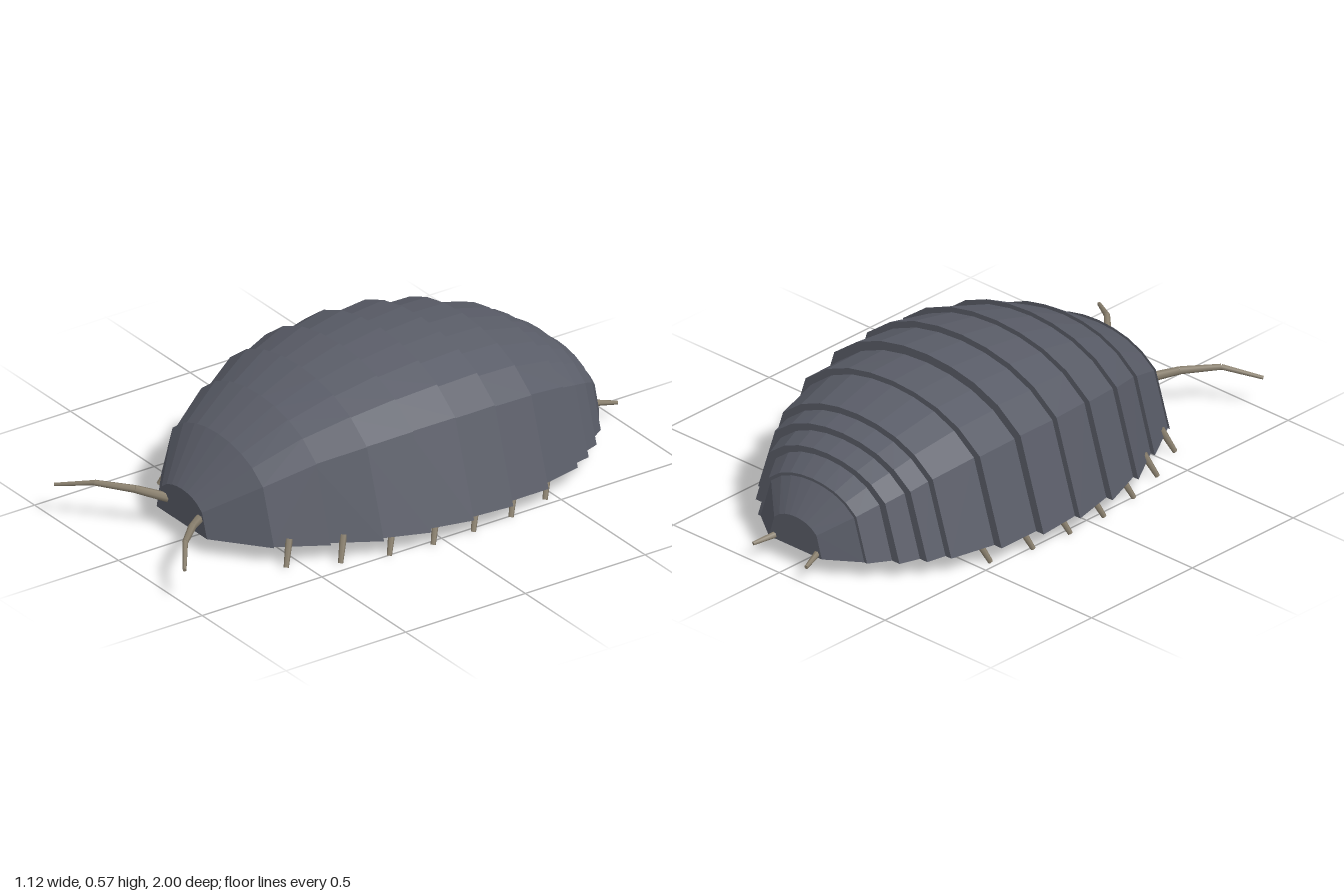
import * as THREE from 'three';
import { ConvexGeometry } from 'three/addons/geometries/ConvexGeometry.js';

const BASE = 0.07;
// Half cross-section of a shell plate: fraction of half width, fraction of height
const ARCH = [[1, 0], [0.8, 0.69], [0.605, 0.85], [0.405, 0.94], [0.205, 0.985], [0, 1]];

// Plates, head to tail: z front, z rear, half width front/rear, top y front/rear
const PLATES = [
  [0.735, 0.585, 0.15, 0.337, 0.20, 0.37],
  [0.585, 0.413, 0.327, 0.43, 0.36, 0.47],
  [0.413, 0.247, 0.41, 0.51, 0.457, 0.533],
  [0.247, 0.077, 0.485, 0.55, 0.517, 0.566],
  [0.077, -0.094, 0.52, 0.56, 0.548, 0.576],
  [-0.094, -0.265, 0.535, 0.55, 0.553, 0.566],
  [-0.265, -0.437, 0.515, 0.515, 0.534, 0.53],
  [-0.437, -0.61, 0.48, 0.442, 0.51, 0.468],
  [-0.61, -0.685, 0.415, 0.4, 0.445, 0.423],
  [-0.685, -0.76, 0.365, 0.34, 0.4, 0.373],
  [-0.76, -0.835, 0.305, 0.258, 0.352, 0.305],
  [-0.835, -0.92, 0.245, 0.125, 0.295, 0.19],
];

function archPoints(z, halfWidth, top) {
  const points = [];
  for (const [u, v] of ARCH) {
    for (const side of u > 0 ? [-1, 1] : [1]) {
      points.push(new THREE.Vector3(side * u * halfWidth, BASE + v * (top - BASE), z));
    }
  }
  return points;
}

// Tapered jointed limb through a list of points
function limb(name, path, radiusStart, radiusEnd, material) {
  const group = new THREE.Group();
  group.name = name;
  const n = path.length - 1;
  for (let i = 0; i < n; i++) {
    const a = new THREE.Vector3(...path[i]);
    const b = new THREE.Vector3(...path[i + 1]);
    const r0 = THREE.MathUtils.lerp(radiusStart, radiusEnd, i / n);
    const r1 = THREE.MathUtils.lerp(radiusStart, radiusEnd, (i + 1) / n);
    const mesh = new THREE.Mesh(
      new THREE.CylinderGeometry(r1, r0, a.distanceTo(b), 6), material);
    mesh.name = name + 'Joint';
    mesh.position.copy(a).add(b).multiplyScalar(0.5);
    mesh.quaternion.setFromUnitVectors(new THREE.Vector3(0, 1, 0), b.sub(a).normalize());
    group.add(mesh);
  }
  return group;
}

export function createModel() {
  const shell = new THREE.MeshStandardMaterial({ color: 0x5a5d68 });
  shell.name = 'slate shell';
  const tan = new THREE.MeshStandardMaterial({ color: 0x8c8270 });
  tan.name = 'tan limbs and belly';

  const model = new THREE.Group();
  model.name = 'woodlouse';

  // Overlapping shell plates
  PLATES.forEach(([z0, z1, w0, w1, h0, h1], i) => {
    const plate = new THREE.Mesh(
      new ConvexGeometry([...archPoints(z0, w0, h0), ...archPoints(z1, w1, h1)]), shell);
    plate.name = i === 0 ? 'headPlate' : 'shellPlate' + i;
    model.add(plate);
  });

  // Shallow belly plate with a bevelled rim
  const outline = [[0.65, 0.2], [0.5, 0.29], [0.33, 0.36], [0.16, 0.41], [-0.02, 0.435],
    [-0.18, 0.43], [-0.35, 0.4], [-0.52, 0.345], [-0.69, 0.25], [-0.83, 0.13]];
  const bellyPoints = [];
  for (const [z, w] of outline) {
    for (const side of [-1, 1]) {
      bellyPoints.push(new THREE.Vector3(side * w, BASE + 0.005, z));
      bellyPoints.push(new THREE.Vector3(side * w * 0.87, 0.045, z * 0.985));
    }
  }
  const belly = new THREE.Mesh(new ConvexGeometry(bellyPoints), tan);
  belly.name = 'belly';
  model.add(belly);

  // Legs, feelers and tail prongs, mirrored
  const feet = [[0.38, 0.565], [0.46, 0.394], [0.51, 0.225], [0.53, 0.056],
    [0.53, -0.112], [0.515, -0.28], [0.475, -0.45]];
  for (const side of [1, -1]) {
    const label = side > 0 ? 'left' : 'right';
    feet.forEach(([x, z], i) => {
      model.add(limb(label + 'Leg' + (i + 1),
        [[side * (x - 0.032), 0.095, z - 0.035], [side * x, 0.008, z]], 0.013, 0.009, tan));
    });
    model.add(limb(label + 'Feeler', [[side * 0.08, 0.12, 0.71], [side * 0.17, 0.15, 0.81],
      [side * 0.27, 0.162, 0.91], [side * 0.388, 0.13, 0.995]], 0.018, 0.007, tan));
    model.add(limb(label + 'TailProng',
      [[side * 0.095, 0.085, -0.9], [side * 0.125, 0.07, -0.998]], 0.013, 0.007, tan));
  }
  return model;
}
